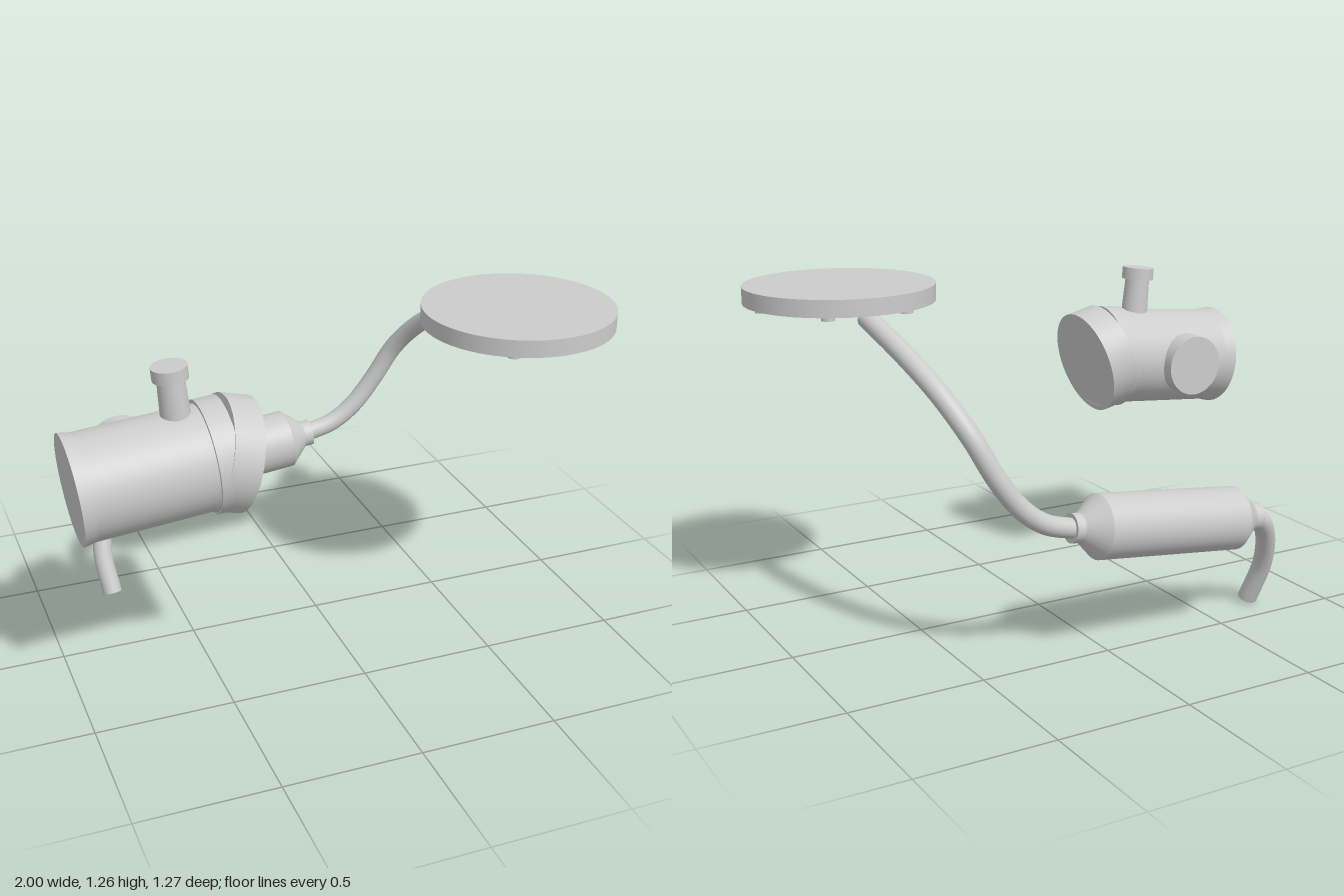
import * as THREE from 'three';

const V = (x, y, z) => new THREE.Vector3(x, y, z);
const UP = V(0, 1, 0);

export function createModel() {
  const model = new THREE.Group();
  const steel = new THREE.MeshStandardMaterial({ color: 0xcccccc });
  steel.name = 'paleSteel';

  function add(parent, name, geometry) {
    const mesh = new THREE.Mesh(geometry, steel);
    mesh.name = name;
    parent.add(mesh);
    return mesh;
  }

  // Capped cylinder or cone running from point a to point b
  function rod(parent, name, a, b, ra, rb = ra, segments = 64) {
    const dir = b.clone().sub(a);
    const mesh = add(parent, name, new THREE.CylinderGeometry(rb, ra, dir.length(), segments));
    mesh.position.copy(a).add(b).multiplyScalar(0.5);
    mesh.quaternion.setFromUnitVectors(UP, dir.normalize());
    return mesh;
  }

  // Bent pipe through the points, with a flat cap at both ends
  function pipe(name, points, radius) {
    const group = new THREE.Group();
    group.name = name;
    model.add(group);
    const curve = new THREE.CatmullRomCurve3(points);
    add(group, name + 'Wall', new THREE.TubeGeometry(curve, 80, radius, 32));
    for (const t of [0, 1]) {
      const cap = add(group, name + 'Cap', new THREE.CircleGeometry(radius, 32));
      const outward = curve.getTangent(t).multiplyScalar(t ? 1 : -1);
      cap.position.copy(curve.getPoint(t));
      cap.quaternion.setFromUnitVectors(V(0, 0, 1), outward);
    }
  }

  // Round flange with a ring of six bolts beneath
  const flange = new THREE.Group();
  flange.name = 'flange';
  flange.position.set(0.655, 0, 0.29);
  model.add(flange);
  rod(flange, 'flangePlate', V(0, 1.21, 0), V(0, 1.272, 0), 0.345, 0.345, 96);
  for (let i = 0; i < 6; i++) {
    const a = i * Math.PI / 3;
    const x = 0.292 * Math.cos(a), z = 0.292 * Math.sin(a);
    rod(flange, 'flangeBolt', V(x, 1.192, z), V(x, 1.212, z), 0.024, 0.024, 32);
  }

  // Inlet and outlet pipes
  pipe('inletPipe', [
    V(0.652, 1.185, 0.055), V(0.617, 1.09, -0.184), V(0.573, 0.986, -0.355),
    V(0.514, 0.857, -0.462), V(0.445, 0.72, -0.5), V(0.36, 0.605, -0.514),
    V(0.27, 0.538, -0.521), V(0.15, 0.503, -0.525),
  ], 0.036);
  pipe('outletPipe', [
    V(-0.6, 0.421, -0.52), V(-0.655, 0.392, -0.512), V(-0.707, 0.315, -0.48),
    V(-0.741, 0.18, -0.425), V(-0.726, 0.024, -0.363),
  ], 0.037);

  // Canister with conical ends and collars, along one sloping axis
  const canister = new THREE.Group();
  canister.name = 'canister';
  model.add(canister);
  const at = x => V(x, 0.43 + 0.112 * (x + 0.515), -0.521);
  rod(canister, 'canisterBody', at(-0.517), at(0.068), 0.116);
  rod(canister, 'canisterLeftCone', at(0.068), at(0.145), 0.116, 0.046);
  rod(canister, 'canisterRightCone', at(-0.6), at(-0.517), 0.046, 0.116);
  rod(canister, 'leftCollar', at(0.137), at(0.172), 0.052);
  rod(canister, 'rightCollar', at(-0.63), at(-0.592), 0.052);

  // Housing: local x runs along the tilted barrel
  const housing = new THREE.Group();
  housing.name = 'housing';
  housing.position.set(-0.98, 0.838, 0.29);
  housing.rotation.z = 0.09;
  model.add(housing);
  rod(housing, 'barrel', V(0.03, 0, 0), V(0.5, 0, 0), 0.187);
  rod(housing, 'rearRim', V(0, 0, 0), V(0.062, 0, 0), 0.195, 0.184);
  rod(housing, 'frontCollar', V(0.465, 0, 0), V(0.546, 0, 0), 0.2);
  rod(housing, 'neck', V(0.389, 0.15, 0), V(0.389, 0.32, 0), 0.053, 0.047);
  rod(housing, 'neckCap', V(0.389, 0.312, 0), V(0.389, 0.358, 0), 0.062);

  // Front end turned down against the collar, leaving a wedge gap on top
  rod(model, 'angledFrontEnd', V(-0.483, 0.893, 0.288), V(-0.378, 0.867, 0.288), 0.203);

  // Round boss on the back of the barrel
  rod(model, 'backBoss', V(-0.75, 0.857, 0.16), V(-0.75, 0.857, 0.057), 0.117);

  return model;
}
